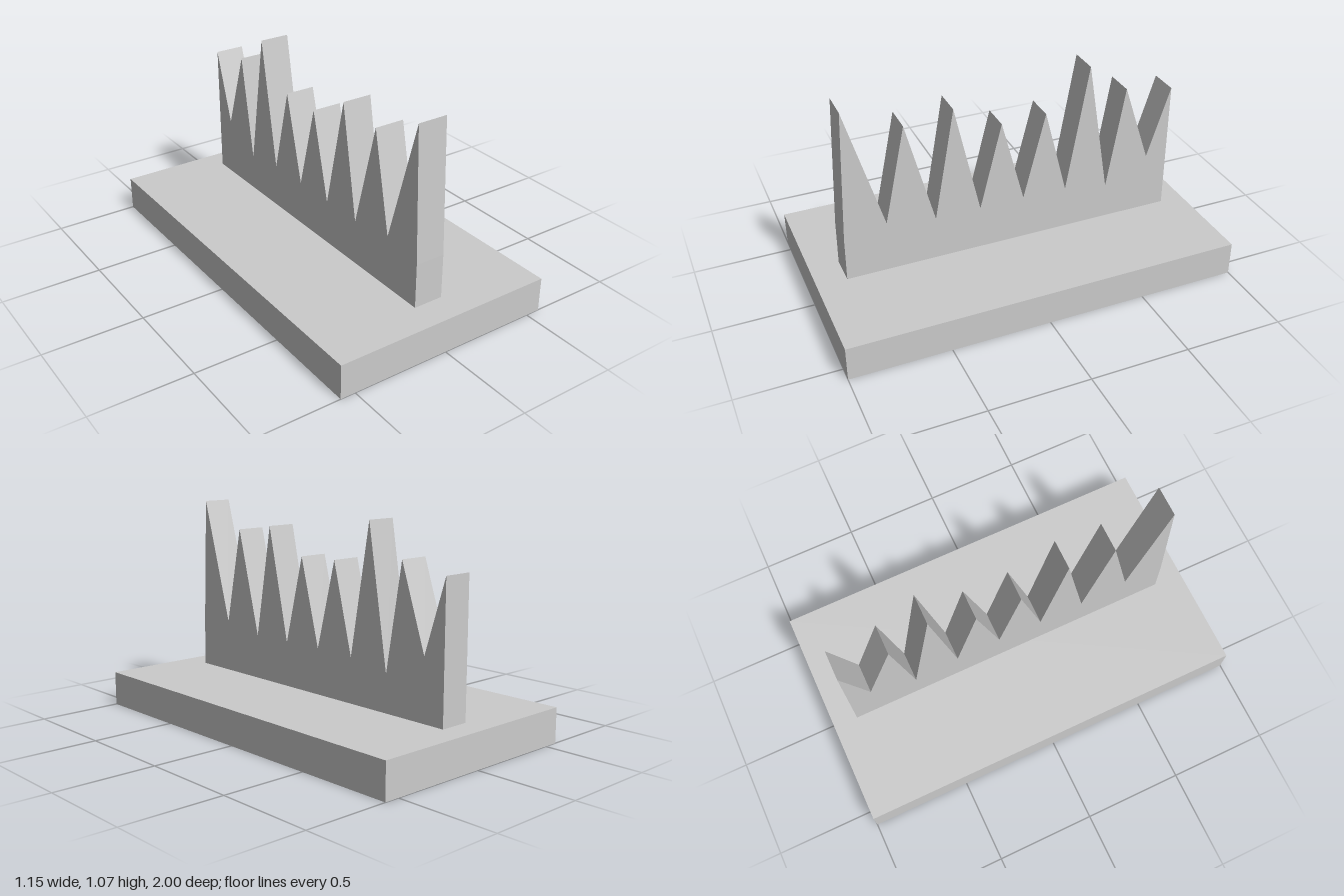
import * as THREE from 'three';

export function createModel() {
  const group = new THREE.Group();
  const material = new THREE.MeshStandardMaterial({ color: 0xcccccc, flatShading: true });
  const add = (name, geometry) => {
    const mesh = new THREE.Mesh(geometry, material);
    mesh.name = name;
    group.add(mesh);
  };

  // Flat rectangular base
  const baseHeight = 0.175;
  add('base', new THREE.BoxGeometry(1.15, baseHeight, 2).translate(0, baseHeight / 2, 0));

  // Jagged wall: side profile as (z, y), front to back, alternating peaks and valleys
  const profile = [
    [0.85, baseHeight], [0.848, 0.4],
    [0.817, 1.07], [0.637, 0.44], [0.53, 0.94], [0.391, 0.4],
    [0.287, 0.975], [0.16, 0.4], [0.046, 0.845], [-0.07, 0.405],
    [-0.185, 0.85], [-0.3, 0.4], [-0.415, 1.055], [-0.53, 0.36],
    [-0.62, 0.895], [-0.76, 0.482], [-0.876, 0.85], [-0.876, baseHeight],
  ];
  const shape = new THREE.Shape(profile.map(([z, y]) => new THREE.Vector2(z, y)));
  const wall = new THREE.ExtrudeGeometry(shape, { depth: 0.152, bevelEnabled: false });
  // Turn the profile so that it runs along z and its thickness along x
  wall.rotateY(-Math.PI / 2).translate(0.09, 0, 0);
  add('jaggedWall', wall);

  return group;
}
